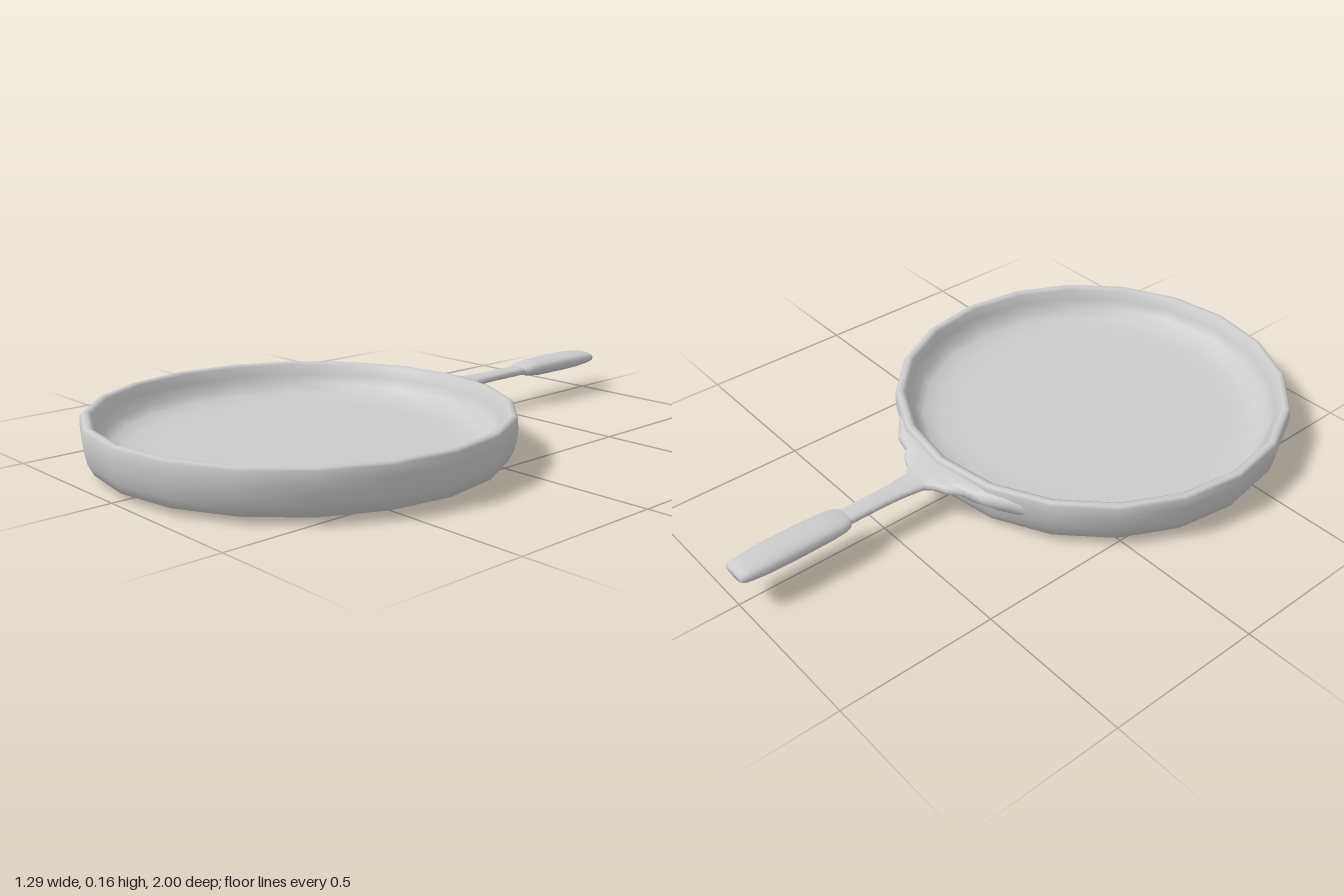
import * as THREE from 'three';

const material = new THREE.MeshStandardMaterial({ color: 0xcccccc });

// Flat base, rounded wall, soft rim and shallow interior in one revolved shell
function createPan() {
  const profile = [
    [0, 0], [0.47, 0.001], [0.54, 0.005], [0.595, 0.012], [0.62, 0.02],
    [0.637, 0.052], [0.645, 0.09], [0.647, 0.12], [0.645, 0.148],
    [0.638, 0.156], [0.625, 0.157], [0.613, 0.15], [0.603, 0.118],
    [0.588, 0.085], [0.56, 0.063], [0.51, 0.052], [0.44, 0.05], [0, 0.05],
  ].map(([r, y]) => new THREE.Vector2(r, y));
  const pan = new THREE.Mesh(new THREE.LatheGeometry(profile, 20), material);
  pan.name = 'pan';
  pan.position.z = 0.35;
  return pan;
}

// Loft rounded sections [z, halfWidth, yBottom, yTop, bow] running towards -z;
// bow bends a section around the pan wall
function loft(name, sections, ring = 20) {
  const positions = [], indices = [];
  const soften = (v) => Math.sign(v) * Math.pow(Math.abs(v), 0.8);
  for (const [z, w, y0, y1, bow = 0] of sections) {
    for (let i = 0; i < ring; i++) {
      const a = (i / ring) * Math.PI * 2;
      const x = w * soften(Math.cos(a));
      const y = (y0 + y1) / 2 + ((y1 - y0) / 2) * soften(Math.sin(a));
      positions.push(x, y, z + bow * x * x);
    }
  }
  for (let s = 0; s < sections.length - 1; s++) {
    for (let i = 0; i < ring; i++) {
      const a = s * ring + i, b = s * ring + (i + 1) % ring;
      const c = a + ring, d = b + ring;
      indices.push(a, c, b, b, c, d);
    }
  }
  // Close the far end
  const last = (sections.length - 1) * ring;
  const [z, , y0, y1] = sections[sections.length - 1];
  positions.push(0, (y0 + y1) / 2, z);
  for (let i = 0; i < ring; i++) {
    indices.push(last + i, positions.length / 3 - 1, last + (i + 1) % ring);
  }
  const geometry = new THREE.BufferGeometry();
  geometry.setAttribute('position', new THREE.Float32BufferAttribute(positions, 3));
  geometry.setIndex(indices);
  geometry.computeVertexNormals();
  const mesh = new THREE.Mesh(geometry, material);
  mesh.name = name;
  return mesh;
}

export function createModel() {
  const model = new THREE.Group();
  model.name = 'fryingPan';
  model.add(createPan());

  // Flange blending out of the pan wall, stepping down into the neck
  model.add(loft('handleNeck', [
    [-0.278, 0.36, 0.06, 0.146, 0.82],
    [-0.292, 0.28, 0.075, 0.146, 0.76],
    [-0.3, 0.21, 0.088, 0.145, 0.3],
    [-0.31, 0.145, 0.094, 0.143, 0.2],
    [-0.328, 0.125, 0.096, 0.141, 0.2],
    [-0.343, 0.105, 0.098, 0.138, 0.2],
    [-0.355, 0.07, 0.1, 0.135],
    [-0.38, 0.045, 0.101, 0.132],
    [-0.45, 0.036, 0.102, 0.131],
    [-0.5, 0.033, 0.102, 0.131],
    [-0.66, 0.033, 0.102, 0.131],
  ]));

  // Flattened grip with bevelled ends
  model.add(loft('handleGrip', [
    [-0.63, 0.033, 0.103, 0.131],
    [-0.64, 0.044, 0.1, 0.134],
    [-0.66, 0.051, 0.095, 0.139],
    [-0.7, 0.054, 0.091, 0.143],
    [-0.82, 0.056, 0.09, 0.145],
    [-0.91, 0.055, 0.091, 0.143],
    [-0.965, 0.051, 0.095, 0.139],
    [-0.99, 0.048, 0.1, 0.135],
    [-1.0, 0.041, 0.106, 0.13],
  ]));

  return model;
}
